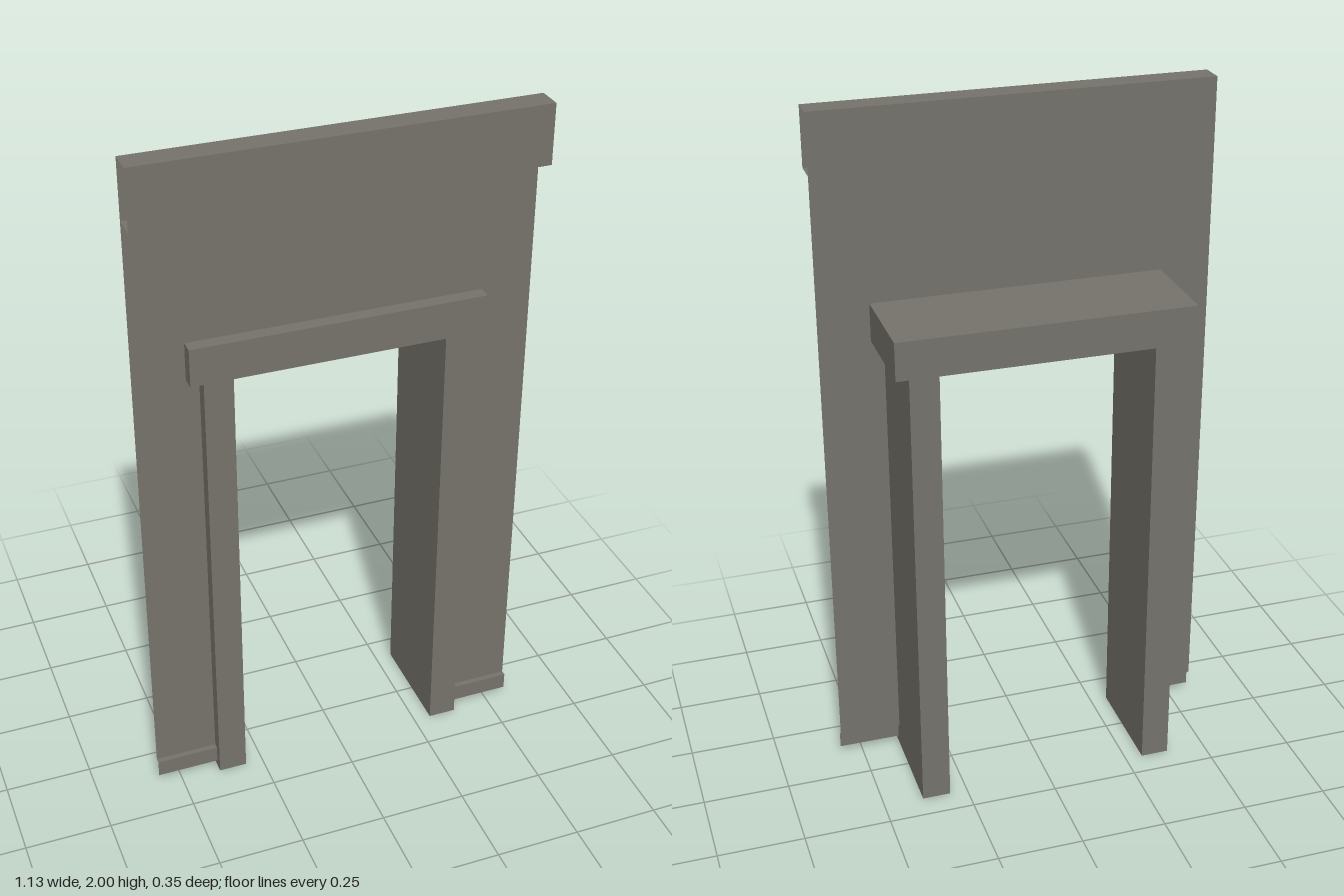
import * as THREE from 'three';

const HALF_W = 0.566;   // half width of the wall
const WALL_Z = 0.104;   // plane of the wall face
const POST_IN = 0.302, POST_OUT = 0.384;
const FRAME_BACK = -0.177, FRAME_FRONT = 0.144;

// Open strip: a [z, y] profile swept straight along x, with crisp folds
function ribbon(profile, x0, x1) {
  const pos = [];
  for (let i = 0; i < profile.length - 1; i++) {
    const [za, ya] = profile[i], [zb, yb] = profile[i + 1];
    pos.push(x0, ya, za, x0, yb, zb, x1, yb, zb);
    pos.push(x0, ya, za, x1, yb, zb, x1, ya, za);
  }
  const geo = new THREE.BufferGeometry();
  geo.setAttribute('position', new THREE.Float32BufferAttribute(pos, 3));
  geo.computeVertexNormals();
  return geo;
}

// Box given by its extents in x and y, running the full depth of the frame
function frameBox(x0, x1, y0, y1) {
  const geo = new THREE.BoxGeometry(x1 - x0, y1 - y0, FRAME_FRONT - FRAME_BACK);
  geo.translate((x0 + x1) / 2, (y0 + y1) / 2, (FRAME_FRONT + FRAME_BACK) / 2);
  return geo;
}

export function createModel() {
  const group = new THREE.Group();
  const stone = new THREE.MeshStandardMaterial({ color: 0x75736b });
  stone.name = 'greyStone';
  stone.side = THREE.DoubleSide;

  const add = (name, geo) => {
    const mesh = new THREE.Mesh(geo, stone);
    mesh.name = name;
    group.add(mesh);
  };

  // Thin wall around the doorway; its cut edge is hidden inside the frame
  const cut = 0.36, bottom = 0.071, top = 2;
  const outline = new THREE.Shape([
    [-HALF_W, bottom], [-cut, bottom], [-cut, 1.4], [cut, 1.4],
    [cut, bottom], [HALF_W, bottom], [HALF_W, top], [-HALF_W, top],
  ].map(([x, y]) => new THREE.Vector2(x, y)));
  add('wall', new THREE.ShapeGeometry(outline).translate(0, 0, WALL_Z));

  // Hollow cornice with open ends
  add('cornice', ribbon([[WALL_Z, top], [0.177, top], [0.177, 1.83], [WALL_Z, 1.83]], -HALF_W, HALF_W));

  // Skirting: small ledge and a face that drops below the wall
  const skirting = [[WALL_Z, bottom], [0.12, bottom], [0.12, 0.02]];
  add('leftSkirting', ribbon(skirting, POST_OUT, HALF_W));
  add('rightSkirting', ribbon(skirting, -HALF_W, -POST_OUT));

  // Deep door frame
  add('leftPost', frameBox(POST_IN, POST_OUT, 0, 1.35));
  add('rightPost', frameBox(-POST_OUT, -POST_IN, 0, 1.35));
  add('lintel', frameBox(-0.42, 0.42, 1.35, 1.46));

  return group;
}
